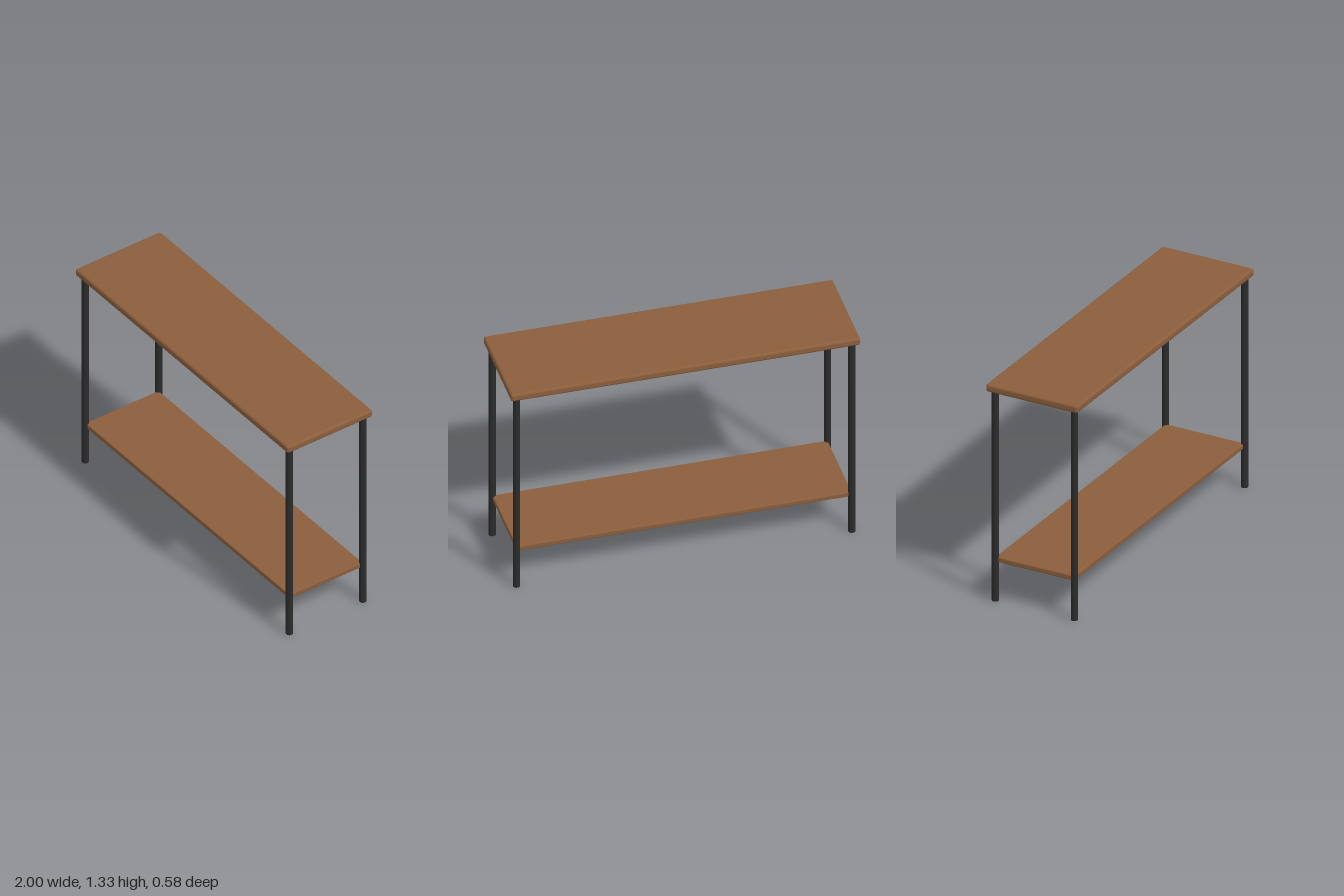
import * as THREE from 'three';
import { RoundedBoxGeometry } from 'three/addons/geometries/RoundedBoxGeometry.js';

export function createModel() {
  const table = new THREE.Group();
  table.name = 'consoleTable';
  const wood = new THREE.MeshStandardMaterial({ color: 0x8b5e3c });
  const metal = new THREE.MeshStandardMaterial({ color: 0x2b2b2b });

  const legX = 0.96, legZ = 0.25, legRadius = 0.02, legHeight = 1.287;

  // Horizontal board with softened edges, placed by its underside
  function addBoard(name, width, thickness, depth, bottom, radius) {
    const board = new THREE.Mesh(new RoundedBoxGeometry(width, thickness, depth, 4, radius), wood);
    board.name = name;
    board.position.y = bottom + thickness / 2;
    table.add(board);
  }
  addBoard('tableTop', 2, 0.047, 0.58, 1.286, 0.014);
  addBoard('lowerShelf', legX * 2, 0.032, legZ * 2, 0.235, 0.007);

  // Four round legs, one at each corner
  const legGeometry = new THREE.CylinderGeometry(legRadius, legRadius, legHeight, 24);
  for (const [side, sx] of [['Left', 1], ['Right', -1]]) {
    for (const [end, sz] of [['front', 1], ['back', -1]]) {
      const leg = new THREE.Mesh(legGeometry, metal);
      leg.name = `${end}${side}Leg`;
      leg.position.set(sx * legX, legHeight / 2, sz * legZ);
      table.add(leg);
    }
  }
  return table;
}
